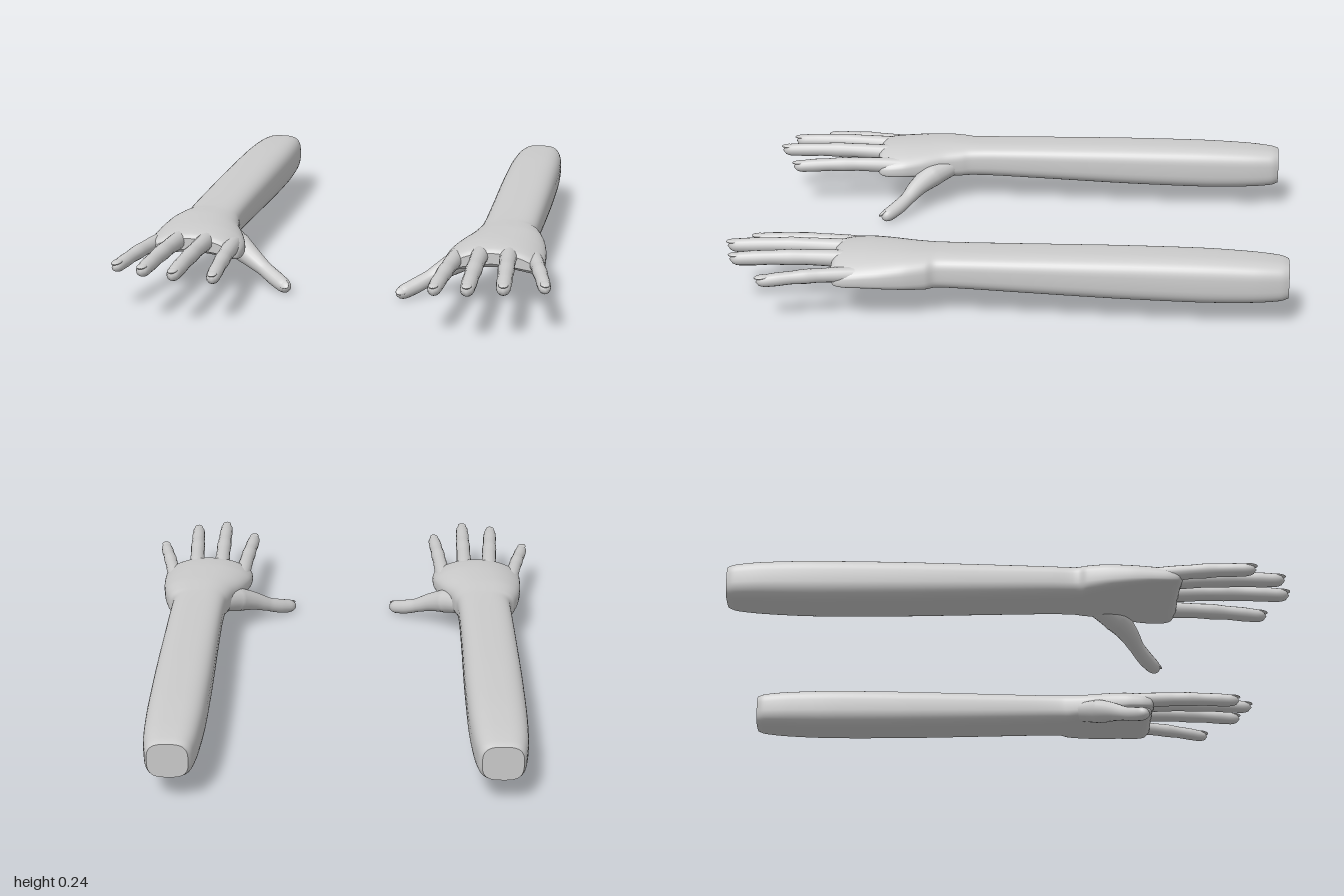
import * as THREE from 'three';
import { mergeVertices } from 'three/addons/utils/BufferGeometryUtils.js';

const skin = new THREE.MeshStandardMaterial({ color: 0xcccccc });
const V = (x, y, z) => new THREE.Vector3(x, y, z);

// Forearm and palm sections: z, xMin, xMax, yMin, yMax, sideways arch drop
const SECTIONS = [
  [-1.0, 0.488, 0.627, 0.105, 0.230, 0],
  [-0.97, 0.474, 0.638, 0.096, 0.238, 0],
  [-0.88, 0.462, 0.650, 0.089, 0.245, 0],
  [-0.7, 0.453, 0.657, 0.084, 0.250, 0],
  [-0.4, 0.451, 0.659, 0.088, 0.248, 0],
  [-0.1, 0.453, 0.657, 0.097, 0.242, 0],
  [0.12, 0.453, 0.655, 0.104, 0.237, 0],
  [0.22, 0.449, 0.655, 0.107, 0.236, 0.003],
  [0.26, 0.440, 0.674, 0.108, 0.237, 0.008],
  [0.33, 0.422, 0.694, 0.116, 0.239, 0.015],
  [0.41, 0.388, 0.706, 0.130, 0.238, 0.025],
  [0.48, 0.366, 0.710, 0.142, 0.236, 0.033],
  [0.54, 0.362, 0.711, 0.150, 0.231, 0.038],
  [0.575, 0.370, 0.705, 0.158, 0.224, 0.038],
  [0.592, 0.395, 0.680, 0.172, 0.210, 0.030],
];

function armGeometry() {
  const outline = new THREE.CatmullRomCurve3(SECTIONS.map(([z, a, b]) => V(z, a, b)), false, 'catmullrom', 0.4);
  const height = new THREE.CatmullRomCurve3(SECTIONS.map(([, , , a, b, d]) => V(a, b, d)), false, 'catmullrom', 0.4);
  const rows = 84, sides = 48, pos = [], index = [];
  const power = (v) => Math.sign(v) * Math.abs(v) ** (2 / 3.1);
  for (let i = 0; i <= rows; i++) {
    const { x: z, y: x0, z: x1 } = outline.getPoint(i / rows);
    const { x: y0, y: y1, z: drop } = height.getPoint(i / rows);
    for (let j = 0; j < sides; j++) {
      const a = (j / sides) * Math.PI * 2;
      const u = power(Math.cos(a)), v = power(Math.sin(a));
      pos.push((x0 + x1) / 2 + u * (x1 - x0) / 2, (y0 + y1) / 2 + v * (y1 - y0) / 2 - drop * u * u, z);
      if (i < rows) {
        const k = i * sides + j, n = i * sides + (j + 1) % sides;
        index.push(k, n, n + sides, k, n + sides, k + sides);
      }
    }
  }
  // End caps; the elbow end repeats its ring to keep a sharp rim
  for (const [row, flip] of [[0, true], [rows, false]]) {
    const start = pos.length / 3, c = V(0, 0, 0);
    for (let j = 0; j < sides; j++) {
      const o = (row * sides + j) * 3;
      pos.push(pos[o], pos[o + 1], pos[o + 2]);
      c.add(V(pos[o], pos[o + 1], pos[o + 2]).divideScalar(sides));
    }
    pos.push(c.x, c.y, c.z);
    for (let j = 0; j < sides; j++) {
      const a = start + j, b = start + (j + 1) % sides;
      index.push(start + sides, flip ? b : a, flip ? a : b);
    }
  }
  const g = new THREE.BufferGeometry();
  g.setAttribute('position', new THREE.Float32BufferAttribute(pos, 3));
  g.setIndex(index);
  g.computeVertexNormals();
  return g;
}

// Round limb along a path of [x, y, z, radius], with a domed tip
function limbGeometry(path) {
  const curve = new THREE.CatmullRomCurve3(path.map(([x, y, z]) => V(x, y, z)));
  const rows = 40, sides = 16;
  let g = new THREE.TubeGeometry(curve, rows, 1, sides);
  const p = g.attributes.position, v = V(0, 0, 0);
  const length = curve.getLength(), dome = 1 - 0.04 / length;
  for (let i = 0; i <= rows; i++) {
    const u = i / rows, c = curve.getPointAt(u);
    const f = curve.getUtoTmapping(u) * (path.length - 1);
    const k = Math.min(Math.floor(f), path.length - 2);
    let r = THREE.MathUtils.lerp(path[k][3], path[k + 1][3], f - k);
    if (u > dome) r *= Math.sqrt(Math.max(0, 1 - ((u - dome) / (1 - dome)) ** 2));
    for (let j = 0; j <= sides; j++) {
      const n = i * (sides + 1) + j;
      v.fromBufferAttribute(p, n).sub(c).multiplyScalar(r).add(c);
      p.setXYZ(n, v.x, v.y, v.z);
    }
  }
  g.deleteAttribute('uv');
  g.deleteAttribute('normal');
  g = mergeVertices(g, 1e-5);
  g.computeVertexNormals();
  return g;
}

// Thin curved nail lying on top of a fingertip
function nailGeometry(path, tilt) {
  const tip = V(...path.at(-1)), dir = tip.clone().sub(V(...path.at(-2))).normalize();
  const side = V(0, 1, 0).applyAxisAngle(dir, tilt).cross(dir).normalize();
  const up = dir.clone().cross(side);
  const centre = tip.clone().addScaledVector(dir, -0.024).addScaledVector(up, 0.016);
  return new THREE.SphereGeometry(1, 16, 10).scale(0.017, 0.007, 0.028)
    .applyMatrix4(new THREE.Matrix4().makeBasis(side, up, dir).setPosition(centre));
}

// Finger from knuckle to tip, swelling slightly at the joints
function fingerPath([x0, y0, z0], [x1, y1, z1], r) {
  return [[0, 1.12], [0.2, 1.08], [0.4, 0.98], [0.53, 1.04], [0.66, 0.92], [0.8, 0.95], [1, 0.82]].map(([t, s]) =>
    [x0 + (x1 - x0) * t, y0 + (y1 - y0) * t + 0.008 * Math.sin(t * Math.PI), z0 + (z1 - z0) * t, r * s]);
}

const FINGERS = {
  indexFinger: fingerPath([0.405, 0.172, 0.5], [0.375, 0.164, 0.927], 0.027),
  middleFinger: fingerPath([0.488, 0.192, 0.5], [0.496, 0.189, 0.993], 0.028),
  ringFinger: fingerPath([0.584, 0.192, 0.5], [0.613, 0.188, 0.96], 0.028),
  littleFinger: fingerPath([0.668, 0.172, 0.48], [0.742, 0.161, 0.84], 0.025),
  thumb: [[0.475, 0.155, 0.30, 0.04], [0.415, 0.13, 0.375, 0.047], [0.355, 0.102, 0.425, 0.036],
    [0.30, 0.072, 0.46, 0.027], [0.255, 0.05, 0.493, 0.028], [0.193, 0.026, 0.545, 0.025]],
};

// Mirror a geometry across x = 0, keeping its faces outward
function mirrored(g) {
  g.scale(-1, 1, 1);
  const a = g.index.array;
  for (let i = 0; i < a.length; i += 3) [a[i], a[i + 1]] = [a[i + 1], a[i]];
  g.computeVertexNormals();
  return g;
}

function createArm(name, mirror) {
  const arm = new THREE.Group();
  arm.name = name;
  const add = (part, g) => {
    const mesh = new THREE.Mesh(mirror ? mirrored(g) : g, skin);
    mesh.name = part;
    arm.add(mesh);
  };
  add('forearmAndPalm', armGeometry());
  for (const [part, path] of Object.entries(FINGERS)) {
    add(part, limbGeometry(path));
    add(part + 'Nail', nailGeometry(path, part === 'thumb' ? -0.7 : 0));
  }
  return arm;
}

export function createModel() {
  const model = new THREE.Group();
  model.name = 'pairOfArms';
  model.add(createArm('leftArm', false), createArm('rightArm', true));
  return model;
}
